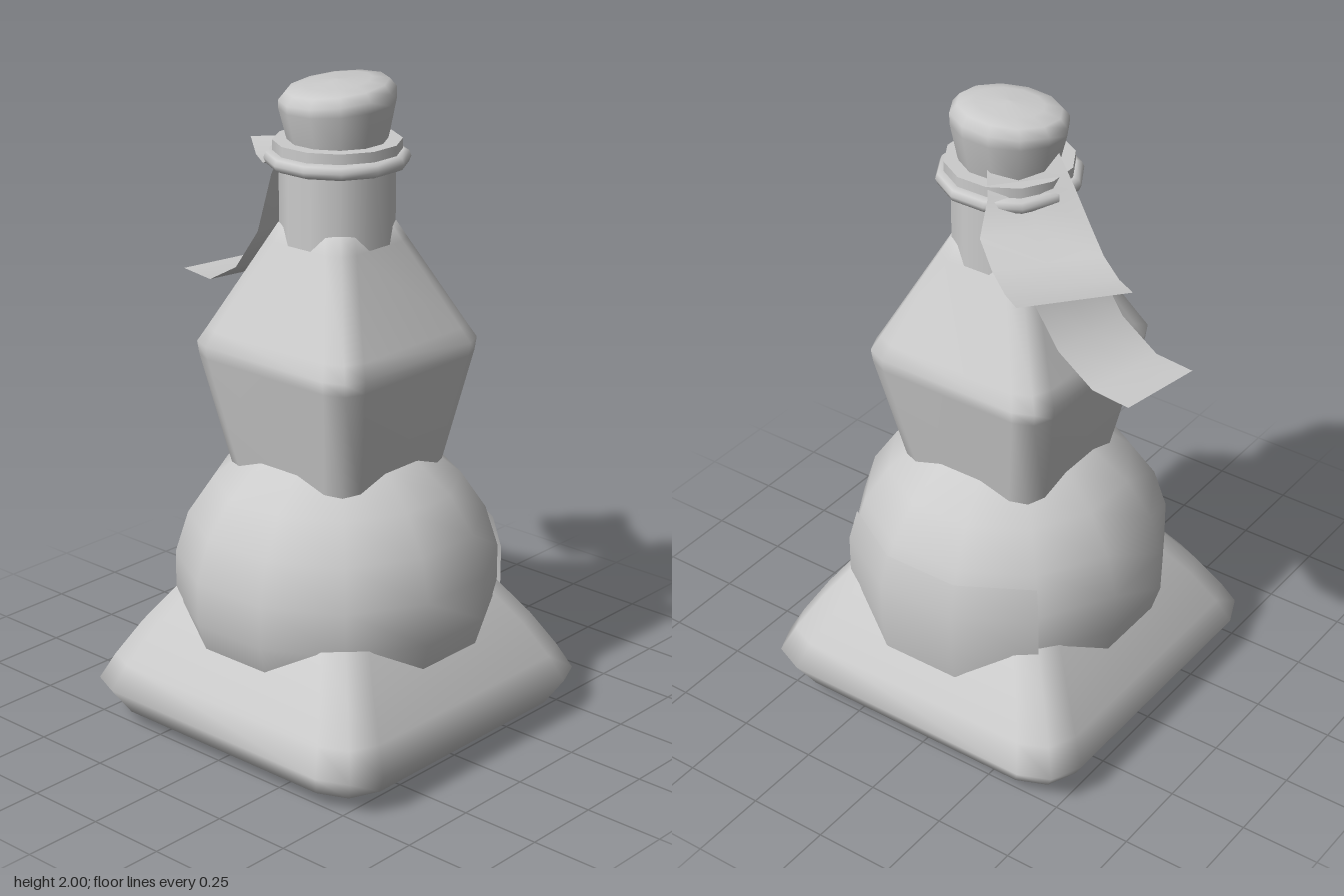
import * as THREE from 'three';

const CX = 0.025; // bottle axis
const TURN = Math.PI / 12; // puts a flat of each 12-sided part to the front
const mat = new THREE.MeshStandardMaterial({ color: 0xcccccc });
const thin = new THREE.MeshStandardMaterial({ color: 0xcccccc, side: THREE.DoubleSide });

// Skin over rows of points, listed from top to bottom
function gridGeometry(rows, closed) {
  const n = rows[0].length, pos = rows.flat(2), idx = [];
  for (let r = 0; r < rows.length - 1; r++) {
    for (let i = 0; i < (closed ? n : n - 1); i++) {
      const a = r * n + i, b = r * n + (i + 1) % n, c = a + n, d = b + n;
      idx.push(a, b, c, b, d, c);
    }
  }
  const g = new THREE.BufferGeometry();
  g.setAttribute('position', new THREE.Float32BufferAttribute(pos, 3));
  g.setIndex(idx);
  g.computeVertexNormals();
  return g;
}

// Square block with rounded corners; sections are [half width, corner inset, y]
function squareLoft(sections) {
  return gridGeometry(sections.map(([h, b, y]) => {
    const row = [];
    for (let k = 0; k < 4; k++) {
      const c = Math.round(Math.cos(k * Math.PI / 2)), s = Math.round(Math.sin(k * Math.PI / 2));
      for (const [u, v] of [[h, h - b], [h - 0.3 * b, h - 0.3 * b], [h - b, h]]) {
        row.push([u * c - v * s, y, u * s + v * c]);
      }
    }
    return row;
  }), true);
}

// Cloth strip along a centre line of [x, y, z, width], spread along a flat direction
function ribbon(path, [dx, dz]) {
  return gridGeometry(path.map(([x, y, z, w]) => [-0.5, 0, 0.5].map(t => [x + dx * w * t, y, z + dz * w * t])), false);
}

export function createModel() {
  const group = new THREE.Group();
  const add = (name, geometry, x = 0, y = 0, material = mat) => {
    const mesh = new THREE.Mesh(geometry, material);
    mesh.name = name;
    mesh.position.set(x, y, 0);
    group.add(mesh);
    return mesh;
  };
  const lathe = (pts, ...sweep) =>
    new THREE.LatheGeometry(pts.map(p => new THREE.Vector2(...p)), ...sweep);

  // Square foot
  add('base', squareLoft([
    [0.2, 0.12, 0.46], [0.345, 0.1, 0.455], [0.375, 0.1, 0.425], [0.455, 0.11, 0.31], [0.52, 0.125, 0.2],
    [0.56, 0.138, 0.12], [0.515, 0.13, 0.045], [0.4, 0.13, 0.015], [0.001, 0.0005, 0.015],
  ]), CX);

  // Round lower bulb
  const bulb = add('bulb', new THREE.SphereGeometry(0.496, 12, 11), CX, 0.47);
  bulb.scale.y = 0.95;
  bulb.rotation.y = TURN;

  // Label wrapped round the back of the bulb
  add('label', lathe([[0.487, 0.29], [0.502, 0.39], [0.502, 0.53], [0.475, 0.63]],
    3, Math.PI * 0.75, Math.PI / 2), CX, 0, thin);

  // Square upper body with shoulders
  add('body', squareLoft([
    [0.08, 0.05, 1.6], [0.14, 0.06, 1.57], [0.165, 0.065, 1.52], [0.295, 0.08, 1.255], [0.319, 0.087, 1.21],
    [0.314, 0.085, 1.17], [0.245, 0.075, 0.82], [0.235, 0.07, 0.78],
  ]), CX);

  // Neck, collar and rolled ring
  add('neck', new THREE.CylinderGeometry(0.17, 0.17, 0.34, 12), CX, 1.63).rotation.y = TURN;
  add('collar', new THREE.CylinderGeometry(0.189, 0.189, 0.06, 12), CX, 1.787).rotation.y = TURN;
  const ring = new THREE.TorusGeometry(0.191, 0.023, 8, 12);
  ring.rotateX(Math.PI / 2);
  add('neckRing', ring, CX, 1.764).rotation.y = TURN;

  // Stopper with a slanted, domed top
  const cork = lathe([
    [0.135, 1.78], [0.15, 1.83], [0.17, 1.92], [0.171, 1.95], [0.15, 1.975], [0.1, 1.986], [0, 1.992],
  ], 12);
  cork.rotateY(TURN);
  const p = cork.attributes.position;
  for (let i = 0; i < p.count; i++) {
    const lift = Math.max(0, Math.min(1, (p.getY(i) - 1.86) / 0.1));
    p.setY(i, p.getY(i) + lift * (0.06 * p.getX(i) - 0.11 * p.getZ(i)));
  }
  add('stopper', cork, CX);

  // Two ribbon tails tied at the neck
  add('upperRibbon', ribbon([
    [-0.05, 1.88, -0.05, 0.2], [-0.12, 1.79, -0.1, 0.25], [-0.16, 1.7, -0.138, 0.316],
    [-0.25, 1.662, -0.205, 0.318], [-0.35, 1.658, -0.28, 0.32], [-0.44, 1.686, -0.352, 0.322],
  ], [0.65, -0.76]), 0, 0, thin);
  add('lowerRibbon', ribbon([
    [-0.12, 1.78, -0.035, 0.18], [-0.155, 1.69, -0.04, 0.22], [-0.193, 1.51, -0.045, 0.264],
    [-0.3, 1.375, -0.06, 0.264], [-0.43, 1.306, -0.08, 0.264], [-0.563, 1.31, -0.1, 0.264],
  ], [0.17, -0.985]), 0, 0, thin);

  return group;
}
